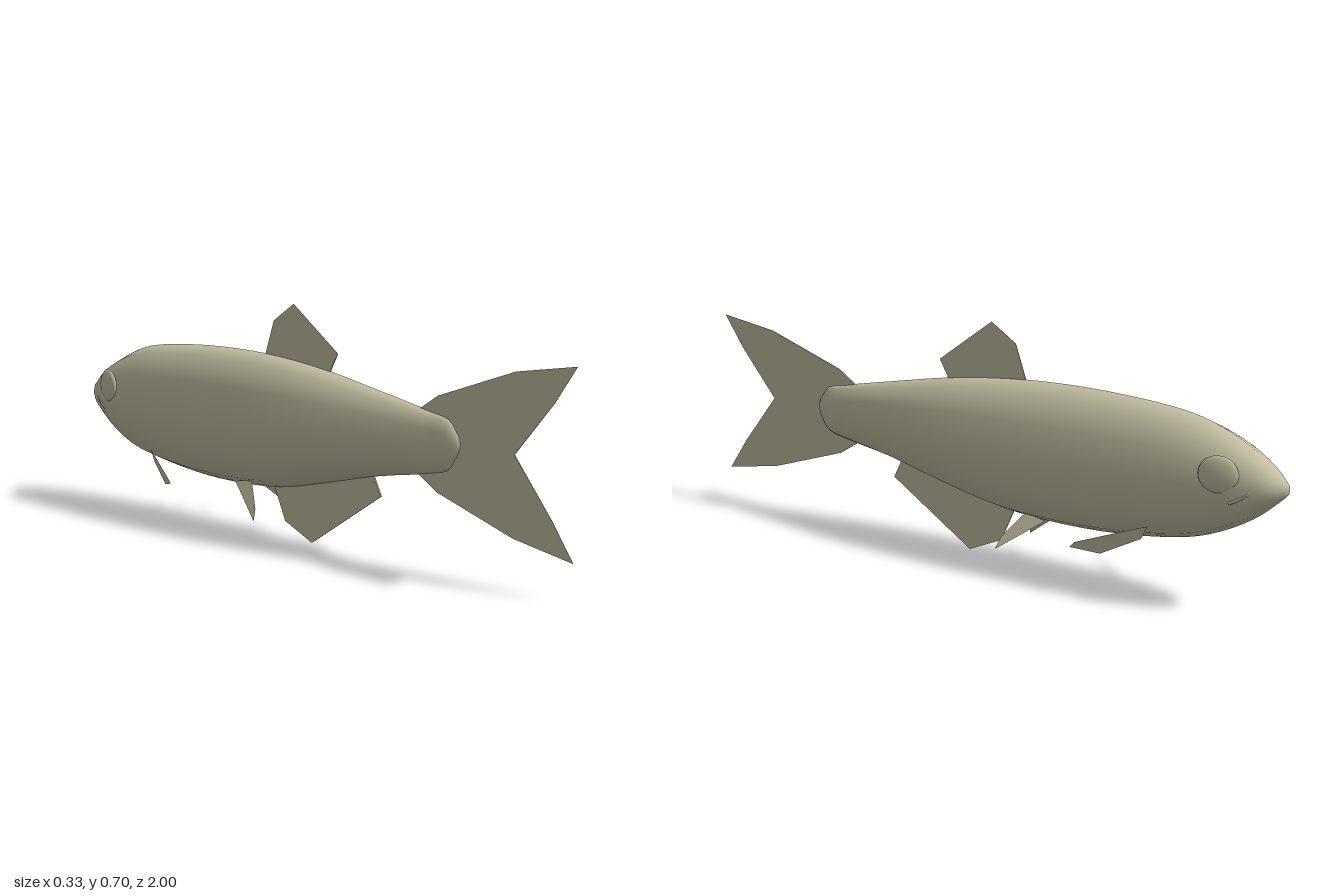
import * as THREE from 'three';

const skin = new THREE.MeshStandardMaterial({ color: 0xc2bea2, side: THREE.DoubleSide });
skin.name = 'pale olive skin';

// Body stations: z, top y, bottom y, half width (nose to tail)
const stations = [
  [-0.995, 0.375, 0.345, 0.012], [-0.96, 0.407, 0.312, 0.044], [-0.9, 0.452, 0.264, 0.07],
  [-0.8, 0.502, 0.21, 0.093], [-0.7, 0.531, 0.176, 0.105], [-0.5, 0.55, 0.147, 0.113],
  [-0.3, 0.554, 0.139, 0.115], [-0.1, 0.545, 0.15, 0.111], [0.1, 0.521, 0.19, 0.098],
  [0.3, 0.484, 0.236, 0.071], [0.5, 0.445, 0.27, 0.038], [0.57, 0.43, 0.287, 0.024],
  [0.605, 0.39, 0.335, 0.01],
];
const SIDES = 12;

function bodyGeometry() {
  const pos = [0, 0.36, -1], idx = [];
  // smooth the stations into evenly finer rings
  const mid = new THREE.CatmullRomCurve3(stations.map(s => new THREE.Vector3(s[0], s[1], s[2])));
  const wide = new THREE.CatmullRomCurve3(stations.map(s => new THREE.Vector3(s[0], s[3], 0)));
  const rings = (stations.length - 1) * 3 + 1;
  for (let i = 0; i < rings; i++) {
    const p = mid.getPoint(i / (rings - 1)), w = wide.getPoint(i / (rings - 1)).y;
    for (let j = 0; j < SIDES; j++) {
      const a = (j / SIDES) * Math.PI * 2;
      pos.push(w * Math.sin(a), (p.y + p.z) / 2 + ((p.y - p.z) / 2) * Math.cos(a), p.x);
    }
  }
  pos.push(0, 0.363, 0.615);
  const last = 1 + rings * SIDES;
  for (let j = 0; j < SIDES; j++) {
    const k = (j + 1) % SIDES;
    idx.push(0, 1 + j, 1 + k);
    for (let i = 0; i < rings - 1; i++) {
      const a = 1 + i * SIDES + j, b = 1 + i * SIDES + k;
      idx.push(a, a + SIDES, b, b, a + SIDES, b + SIDES);
    }
    idx.push(last, last - SIDES + k, last - SIDES + j);
  }
  const g = new THREE.BufferGeometry();
  g.setAttribute('position', new THREE.Float32BufferAttribute(pos, 3));
  g.setIndex(idx);
  g.computeVertexNormals();
  return g;
}

// Fin on the centre plane from [z, y] points, thinning away from the body
function medianFin(points) {
  const shape = new THREE.Shape(points.map(p => new THREE.Vector2(p[0], p[1])));
  const g = new THREE.ExtrudeGeometry(shape, { depth: 0.008, bevelEnabled: false });
  g.translate(0, 0, -0.004).rotateY(-Math.PI / 2);
  const p = g.attributes.position;
  for (let i = 0; i < p.count; i++) {
    const away = Math.max(Math.abs(p.getY(i) - 0.35) / 0.35, (p.getZ(i) - 0.4) / 0.6);
    p.setX(i, p.getX(i) * Math.max(0.08, 1 - away));
  }
  g.computeVertexNormals();
  return g;
}

// Flat side fin as a fan of [x, y, z] corners
function sideFin(points, side) {
  const g = new THREE.BufferGeometry();
  const idx = [];
  for (let i = 1; i < points.length - 1; i++) idx.push(0, i, i + 1);
  if (side < 0) idx.forEach((v, i) => { if (i % 3 === 1) [idx[i], idx[i + 1]] = [idx[i + 1], idx[i]]; });
  g.setAttribute('position', new THREE.Float32BufferAttribute(points.flatMap(p => [p[0] * side, p[1], p[2]]), 3));
  g.setIndex(idx);
  g.computeVertexNormals();
  return g;
}

export function createModel() {
  const fish = new THREE.Group();
  fish.name = 'fish';
  const add = (name, geometry) => {
    const m = new THREE.Mesh(geometry, skin);
    m.name = name;
    fish.add(m);
    return m;
  };

  add('body', bodyGeometry());

  // Fins on the centre line
  add('tailFin', medianFin([[0.42, 0.42], [0.53, 0.49], [0.8, 0.58], [1, 0.61], [0.93, 0.51],
    [0.8, 0.36], [0.93, 0.2], [1, 0.1], [0.8, 0.135], [0.53, 0.222], [0.42, 0.29]]));
  add('dorsalFin', medianFin([[0.1, 0.48], [0.115, 0.525], [0.142, 0.572], [-0.043, 0.705],
    [-0.128, 0.65], [-0.17, 0.53], [-0.15, 0.48]]));
  add('analFin', medianFin([[0.26, 0.28], [0.29, 0.235], [0.318, 0.18], [0.035, 0],
    [-0.08, 0.05], [-0.128, 0.155], [-0.1, 0.2]]));

  for (const side of [1, -1]) {
    const label = side > 0 ? 'left' : 'right';
    // Paired fins under the belly
    add(label + 'PectoralFin', sideFin([[0.08, 0.213, -0.62], [0.08, 0.173, -0.6],
      [0.123, 0.122, -0.495], [0.163, 0.138, -0.42], [0.163, 0.155, -0.435]], side));
    add(label + 'PelvicFin', sideFin([[0.036, 0.165, -0.19], [0.04, 0.152, -0.26],
      [0.092, 0.055, -0.12], [0.076, 0.09, -0.13]], side));

    // Shallow eye dome, tilted toward the nose
    const eye = add(label + 'Eye', new THREE.SphereGeometry(1, 20, 12));
    eye.scale.set(0.014, 0.052, 0.056);
    eye.position.set(0.082 * side, 0.396, -0.83);
    eye.rotation.y = 0.24 * side;

    // Mouth corner crease
    const lip = new THREE.CatmullRomCurve3([[0.03, 0.362, -0.972], [0.058, 0.356, -0.92],
      [0.068, 0.335, -0.89], [0.074, 0.318, -0.86]].map(p => new THREE.Vector3(p[0] * side, p[1], p[2])));
    add(label + 'MouthCorner', new THREE.TubeGeometry(lip, 12, 0.004, 6));
  }
  return fish;
}
